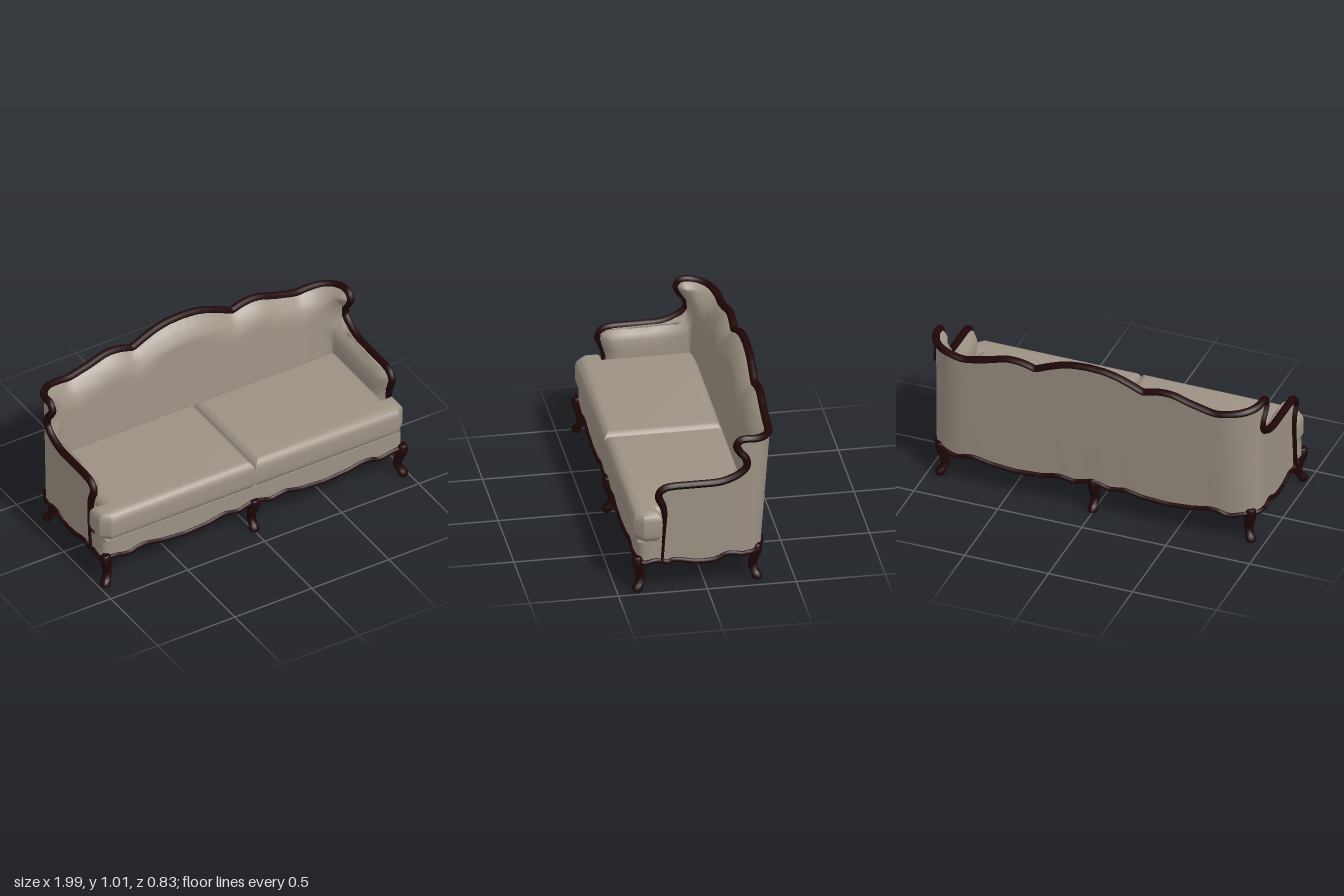
import * as THREE from 'three';
import { mergeVertices, toCreasedNormals } from 'three/addons/utils/BufferGeometryUtils.js';

const fabric = new THREE.MeshStandardMaterial({ name: 'taupe fabric', color: 0x9c9184, side: THREE.DoubleSide });
const wood = new THREE.MeshStandardMaterial({ name: 'dark wood', color: 0x1f0506 });
const { smoothstep, clamp } = THREE.MathUtils;

// Front edge of arm and wing: [y, z]
const EDGE = [[.19, .25], [.3, .242], [.45, .234], [.52, .244], [.58, .268], [.61, .262], [.632, .235], [.64, .2],
  [.645, -.07], [.66, -.13], [.69, -.19], [.73, -.228], [.78, -.222], [.82, -.19], [.855, -.172]];
// Crest height along the half plan: [c, y], c = 0..1 side, 1..2 corner, 2..3 back
const CREST = [[0, .87], [.4, .897], [1, .9], [1.5, .882], [2, .862], [2.046, .864], [2.207, .895], [2.336, .927],
  [2.409, .931], [2.482, .924], [2.577, .903], [2.668, .935], [2.772, .967], [2.876, .986], [3, .992]];
// Scalloped lower edge, along half the front and along the side: [position, y]
const FRONT_WAVE = [[0, .205], [.05, .195], [.1, .18], [.15, .187], [.2, .195], [.3, .173], [.45, .163], [.6, .175],
  [.7, .195], [.75, .193], [.79, .176], [.84, .178], [.9, .19]];
const SIDE_WAVE = [[-.24, .195], [-.2, .185], [-.16, .195], [-.12, .198], [-.06, .168], [0, .16], [.08, .165],
  [.15, .182], [.18, .185], [.22, .172], [.27, .19], [.3, .19], [.36, .178]];

function lookup(table, t) {
  if (t <= table[0][0]) return table[0][1];
  for (let i = 1; i < table.length; i++) {
    const [a, va] = table[i - 1], [b, vb] = table[i];
    if (t <= b) return va + (vb - va) * (t - a) / (b - a);
  }
  return table[table.length - 1][1];
}

// Point on the wrap-around shell; c runs 0..6 from one arm front to the other
function shellPoint(c, y, zFront, inset = 0) {
  const k = c > 3 ? 6 - c : c, sign = c > 3 ? -1 : 1;
  const zBack = -.337 - (y - .2) * .082;
  let x = .967, z = zFront + (-.225 - zFront) * Math.min(k, 1), nx = -1, nz = 0;
  if (k > 1) {
    const a = Math.min(k - 1, 1) * Math.PI / 2;
    x = .757 + .21 * Math.cos(a);
    z = -.225 + (zBack + .225) * Math.sin(a);
    nx = -Math.cos(a); nz = Math.sin(a);
  }
  if (k > 2) x = .757 * (3 - k);
  return new THREE.Vector3(sign * (x + nx * inset), y, z + nz * inset);
}

function hemPoint(c) {
  const p = shellPoint(c, .19, .25), k = c > 3 ? 6 - c : c;
  p.y = k < 1 ? lookup(SIDE_WAVE, p.z) : lookup(FRONT_WAVE, Math.abs(p.x));
  return p;
}

function grid(rows) {
  const n = rows[0].length, index = [];
  for (let r = 0; r < rows.length - 1; r++) for (let i = 0; i < n - 1; i++) {
    const a = r * n + i, b = a + n;
    index.push(a, a + 1, b, b, a + 1, b + 1);
  }
  const g = new THREE.BufferGeometry().setFromPoints(rows.flat());
  g.setIndex(index);
  g.computeVertexNormals();
  return g;
}

function columns() {
  const half = [0, .03, .07, .13, .22, .35, .5, .65, .82, 1];
  for (let i = 1; i <= 8; i++) half.push(1 + i / 8);
  for (let i = 1; i <= 28; i++) half.push(2 + i / 28);
  return [...half, ...half.slice(0, -1).reverse().map(c => 6 - c)];
}

// Cabriole leg: rings of [y, outward offset, radius]
const LEG = [[.22, .002, .02], [.21, .003, .028], [.18, 0, .032], [.15, -.008, .031], [.12, -.02, .028], [.09, -.027, .026],
  [.06, -.024, .025], [.045, -.008, .028], [.025, .004, .03], [.008, .005, .026], [0, .003, .016]];
function legGeometry() {
  const g = new THREE.CylinderGeometry(1, 1, 1, 12, LEG.length - 1), p = g.attributes.position;
  for (let i = 0; i < p.count; i++) {
    const [y, out, r] = LEG[Math.round((.5 - p.getY(i)) * (LEG.length - 1))];
    p.setXYZ(i, p.getX(i) * r, y, p.getZ(i) * r + out);
  }
  g.computeVertexNormals();
  return g;
}

// T-shaped cushion cover with rolled edges, open underneath
function cushionGeometry() {
  const outline = [[.06, .204], [.855, .204], [.855, -.31], [.924, -.31], [.924, -.33], [.91, -.344], [.06, -.346]];
  const shape = new THREE.Shape(outline.reverse().map(([x, y]) => new THREE.Vector2(x, y)));
  let g = new THREE.ExtrudeGeometry(shape,
    { depth: .073, bevelEnabled: true, bevelSize: .06, bevelThickness: .06, bevelSegments: 7 });
  g.rotateX(-Math.PI / 2).translate(0, .355, 0);
  g.deleteAttribute('uv');
  g.deleteAttribute('normal');
  g = mergeVertices(g, 1e-4);
  const p = g.attributes.position, kept = [];
  for (let i = 0; i < g.index.count; i += 3) {
    const tri = [0, 1, 2].map(k => g.index.getX(i + k));
    if (tri.some(v => p.getY(v) > .297)) kept.push(...tri);
  }
  g.setIndex(kept);
  return toCreasedNormals(g, .6);
}

export function createModel() {
  const group = new THREE.Group();
  const add = (name, geometry, material) => {
    const m = new THREE.Mesh(geometry, material);
    m.name = name;
    group.add(m);
    return m;
  };
  const cols = columns();
  const crestY = c => lookup(CREST, c > 3 ? 6 - c : c);

  // Carved rail following arm fronts, wings and crest
  const armEdge = EDGE.map(([y, z]) => new THREE.Vector3(.967, y, z));
  armEdge.splice(8, 0, new THREE.Vector3(.967, .642, .07));
  const railPoints = [...armEdge,
    ...cols.filter(c => c === 0 || (c > .3 && c < 5.7) || c === 6).map(c => shellPoint(c, crestY(c), -.172)),
    ...armEdge.map(p => new THREE.Vector3(-p.x, p.y, p.z)).reverse()];
  const railCurve = new THREE.CatmullRomCurve3(railPoints, false, 'centripetal');
  const segments = 320, radial = 8;
  const railGeometry = new THREE.TubeGeometry(railCurve, segments, .022, radial);
  const rp = railGeometry.attributes.position;
  for (let i = 0; i < rp.count; i++) { // crest is flatter and deeper; arm fronts taper downwards
    const c = railCurve.getPointAt(Math.floor(i / (radial + 1)) / segments);
    const back = 1 - smoothstep(Math.abs(c.x), .8, .95);
    const depth = .4 + .6 * smoothstep(c.y, .35, .58) + .1 * back;
    rp.setY(i, c.y + (rp.getY(i) - c.y) * (1 - .2 * back));
    rp.setZ(i, c.z + (rp.getZ(i) - c.z) * depth + .01 * back);
  }
  railGeometry.computeVertexNormals();
  add('carvedTopRail', railGeometry, wood);

  // Outer shell and padded inner lining
  const samples = railCurve.getPoints(400);
  const shellRows = padding => {
    const point = (c, y, z) => {
      const p = shellPoint(c, y, z);
      if (!padding) return p;
      const d = Math.min(...samples.map(s => s.distanceTo(p)));
      const k = clamp((c > 3 ? 6 - c : c) - 1, 0, 1), back = smoothstep(k, 0, 1);
      const depth = .075 + .02 * back + .015 * Math.sin(k * Math.PI);
      return shellPoint(c, y, z, depth * Math.sqrt(Math.min(1, d / (.07 + .04 * back))));
    };
    const rows = EDGE.slice(1).map(([y, z]) => cols.map(c => point(c, y, z)));
    if (!padding) rows.unshift(cols.map(hemPoint));
    for (let j = 1; j <= 7; j++) {
      rows.push(cols.map(c => point(c, .855 + (crestY(c) - .855) * j / 7, -.172)));
    }
    return rows;
  };
  add('outerShell', grid(shellRows(false)), fabric);
  add('paddedLining', grid(shellRows(true)), fabric);

  // Front apron below the cushions
  const plan = [[.972, .25], [.974, .29], [.974, .35], [.955, .38]];
  for (let i = 0; i <= 36; i++) plan.push([.9 - i * .05, .384]);
  plan.push([-.955, .38], [-.974, .35], [-.974, .29], [-.972, .25]);
  const apronHem = plan.map(([x, z]) => new THREE.Vector3(x,
    z < .375 ? lookup(SIDE_WAVE, z) : lookup(FRONT_WAVE, Math.abs(x)), z));
  add('frontApron', grid([apronHem, apronHem.map(p => new THREE.Vector3(p.x, .3, p.z))]), fabric);
  add('frontBeam', new THREE.BoxGeometry(1.9, .04, .16).translate(0, .28, .3), fabric);

  // Scalloped rail round the whole base
  const sideHem = [];
  for (let z = .25; z > -.21; z -= .03) sideHem.push(new THREE.Vector3(.967, lookup(SIDE_WAVE, z), z));
  const loop = [...sideHem, ...cols.filter(c => c >= 1 && c <= 5).map(hemPoint),
    ...sideHem.map(p => new THREE.Vector3(-p.x, p.y, p.z)).reverse(),
    ...apronHem.slice(1, -1).reverse()];
  const baseCurve = new THREE.CatmullRomCurve3(loop, true, 'centripetal');
  add('scallopedBaseRail', new THREE.TubeGeometry(baseCurve, 360, .015, 8, true), wood);

  // Two seat cushions
  const cushion = cushionGeometry();
  add('leftCushion', cushion, fabric);
  add('rightCushion', cushion, fabric).scale.x = -1;

  // Six legs, each turned to face outward
  const leg = legGeometry();
  const place = (name, x, z, angle) => {
    const m = add(name, leg, wood);
    m.position.set(x, 0, z);
    m.rotation.y = angle;
  };
  for (const s of [1, -1]) {
    const side = s > 0 ? 'Left' : 'Right';
    place('front' + side + 'Leg', s * .962, .386, s * Math.PI / 4);
    place('back' + side + 'Leg', s * .922, -.288, s * Math.PI * .75);
  }
  place('frontMiddleLeg', 0, .385, 0);
  place('backMiddleLeg', 0, -.328, Math.PI);
  return group;
}
